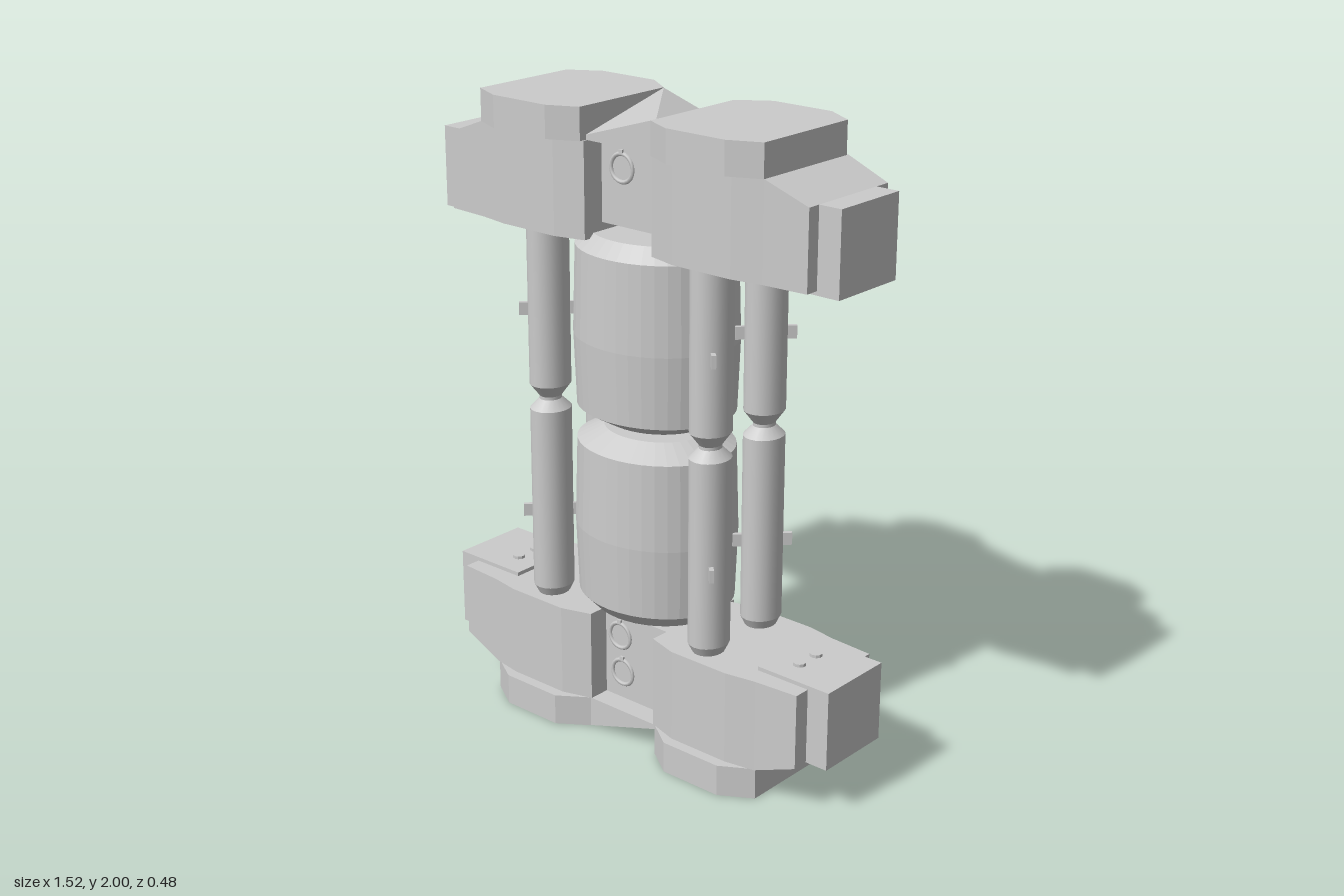
import * as THREE from 'three';
import { ConvexGeometry } from 'three/addons/geometries/ConvexGeometry.js';

const mat = new THREE.MeshStandardMaterial({ color: 0xcccccc, flatShading: true });
const smooth = new THREE.MeshStandardMaterial({ color: 0xcccccc });

function add(parent, name, geo, x = 0, y = 0, z = 0, material = mat) {
  const m = new THREE.Mesh(geo, material);
  m.name = name;
  m.position.set(x, y, z);
  parent.add(m);
  return m;
}

const box = (w, h, d) => new THREE.BoxGeometry(w, h, d);

// Solid lofted along x through rectangles [x, yLow, yHigh, zBack, zFront]
function loft(sections) {
  const pos = [];
  const rings = sections.map(([x, y0, y1, z0, z1]) =>
    [[x, y0, z1], [x, y1, z1], [x, y1, z0], [x, y0, z0]]);
  const quad = (a, b, c, d) => pos.push(...a, ...b, ...c, ...a, ...c, ...d);
  for (let i = 0; i < rings.length - 1; i++) {
    const p = rings[i], q = rings[i + 1];
    for (let j = 0; j < 4; j++) {
      const k = (j + 1) % 4;
      quad(p[j], q[j], q[k], p[k]);
    }
  }
  const s = rings[0], e = rings[rings.length - 1];
  quad(s[0], s[1], s[2], s[3]);
  quad(e[3], e[2], e[1], e[0]);
  const g = new THREE.BufferGeometry();
  g.setAttribute('position', new THREE.Float32BufferAttribute(pos, 3));
  g.computeVertexNormals();
  return g;
}

// Lower end block; the upper one is the same block turned over
function endBlock(name) {
  const g = new THREE.Group();
  g.name = name;
  for (const s of [-1, 1]) {
    const order = (list) => (s < 0 ? list : list.map(([x, ...r]) => [-x, ...r]).reverse());
    // Main lobe with sloped outer underside and nearly flat faces
    add(g, 'lobeBody', loft(order([
      [-0.685, 0.155, 0.395, -0.178, 0.178],
      [-0.54, 0.1, 0.395, -0.188, 0.188],
      [-0.44, 0.1, 0.395, -0.205, 0.205],
      [-0.23, 0.1, 0.395, -0.205, 0.205],
      [-0.13, 0.1, 0.395, -0.18, 0.175],
    ])));
    // Outer slab under the lobe
    add(g, 'lobeSlab', loft(order([
      [-0.54, 0, 0.1, -0.19, 0.18],
      [-0.44, 0, 0.1, -0.235, 0.24],
      [-0.23, 0, 0.1, -0.235, 0.24],
      [-0.135, 0, 0.1, -0.19, 0.175],
    ])));
    // End box, cover plate and bolts
    add(g, 'endBox', box(0.12, 0.25, 0.26), s * 0.7, 0.28, -0.005);
    add(g, 'coverPlate', box(0.26, 0.015, 0.26), s * 0.63, 0.4, -0.005);
    for (const z of [-0.045, 0.035])
      add(g, 'plateBolt', new THREE.CylinderGeometry(0.02, 0.02, 0.012, 10), s * 0.585, 0.411, z);
  }
  // Wedge between the slabs, with a ridge running corner to corner
  add(g, 'bridgeRidge', new ConvexGeometry([
    [-0.135, 0.001, 0.175], [0.135, 0.001, -0.165], [-0.135, 0.085, -0.165], [0.135, 0.085, 0.175],
    [-0.135, 0.1, 0.175], [0.135, 0.1, -0.165], [-0.135, 0.1, -0.165], [0.135, 0.1, 0.175],
  ].map((p) => new THREE.Vector3(...p))));
  return g;
}

// Ring fitting with a small nub, on both faces of the bridge
const BRIDGE_FRONT = 0.105, BRIDGE_BACK = -0.21;
function ringFitting(parent, x, y) {
  for (const z of [BRIDGE_FRONT, BRIDGE_BACK]) {
    add(parent, 'ring', new THREE.TorusGeometry(0.042, 0.007, 6, 20), x, y, z, smooth);
    add(parent, 'ringNub', box(0.014, 0.014, 0.014), x, y + 0.048, z);
  }
}

// Drum with bevelled rims, slightly bulging and oval
function drum(y0, rLow, rHigh) {
  const pts = [[0, 0], [rLow, 0], [0.258, 0.045], [0.267, 0.27], [0.258, 0.545], [rHigh, 0.59], [0, 0.59]];
  const geo = new THREE.LatheGeometry(pts.map(([r, y]) => new THREE.Vector2(r, y)), 40);
  geo.scale(1, 1, 0.87);
  geo.translate(-0.02, y0, -0.012);
  return geo;
}

export function createModel() {
  const model = new THREE.Group();
  model.name = 'columnMachine';

  const lower = endBlock('lowerBlock');
  const upper = endBlock('upperBlock');
  upper.rotation.x = Math.PI;
  upper.position.y = 2;
  model.add(lower, upper);

  // Bridges joining the lobes, recessed at the front and flush at the back
  for (const [name, y0, y1] of [['lowerBridge', 0.095, 0.39], ['upperBridge', 1.645, 1.905]])
    add(model, name, box(0.265, y1 - y0, BRIDGE_FRONT - BRIDGE_BACK),
      0, (y0 + y1) / 2, (BRIDGE_FRONT + BRIDGE_BACK) / 2);

  ringFitting(model, -0.05, 1.82);
  ringFitting(model, -0.07, 0.315);
  ringFitting(model, -0.06, 0.19);

  add(model, 'lowerDrum', drum(0.415, 0.21, 0.17));
  add(model, 'upperDrum', drum(1.03, 0.17, 0.21));

  // Four columns, each of two necked halves with small brackets
  const profile = [
    [0.045, 0.39], [0.061, 0.425], [0.061, 1.02], [0.033, 1.05],
    [0.033, 1.06], [0.061, 1.1], [0.061, 1.63], [0.045, 1.66],
  ];
  for (const sx of [-1, 1]) {
    for (const sz of [-1, 1]) {
      const col = new THREE.Group();
      col.name = 'column';
      col.position.set(-0.022 + sx * 0.323, 0, -0.01 + sz * 0.125);
      model.add(col);
      // Each straight stretch is its own frustum, so the rims stay crisp
      for (let i = 0; i < profile.length - 1; i++) {
        const [r0, y0] = profile[i], [r1, y1] = profile[i + 1];
        const part = add(col, 'columnSection', new THREE.CylinderGeometry(r1, r0, y1 - y0, 20),
          0, (y0 + y1) / 2, 0, smooth);
        part.scale.z = 1.13;
      }
      for (const y of [0.675, 1.34]) {
        for (const side of [-1, 1]) {
          const b = add(col, 'columnBracket', box(0.014, 0.04, 0.045),
            side * sx * 0.048, y, side * sz * 0.05);
          b.rotation.y = Math.atan2(sx, sz);
        }
      }
    }
  }
  return model;
}
